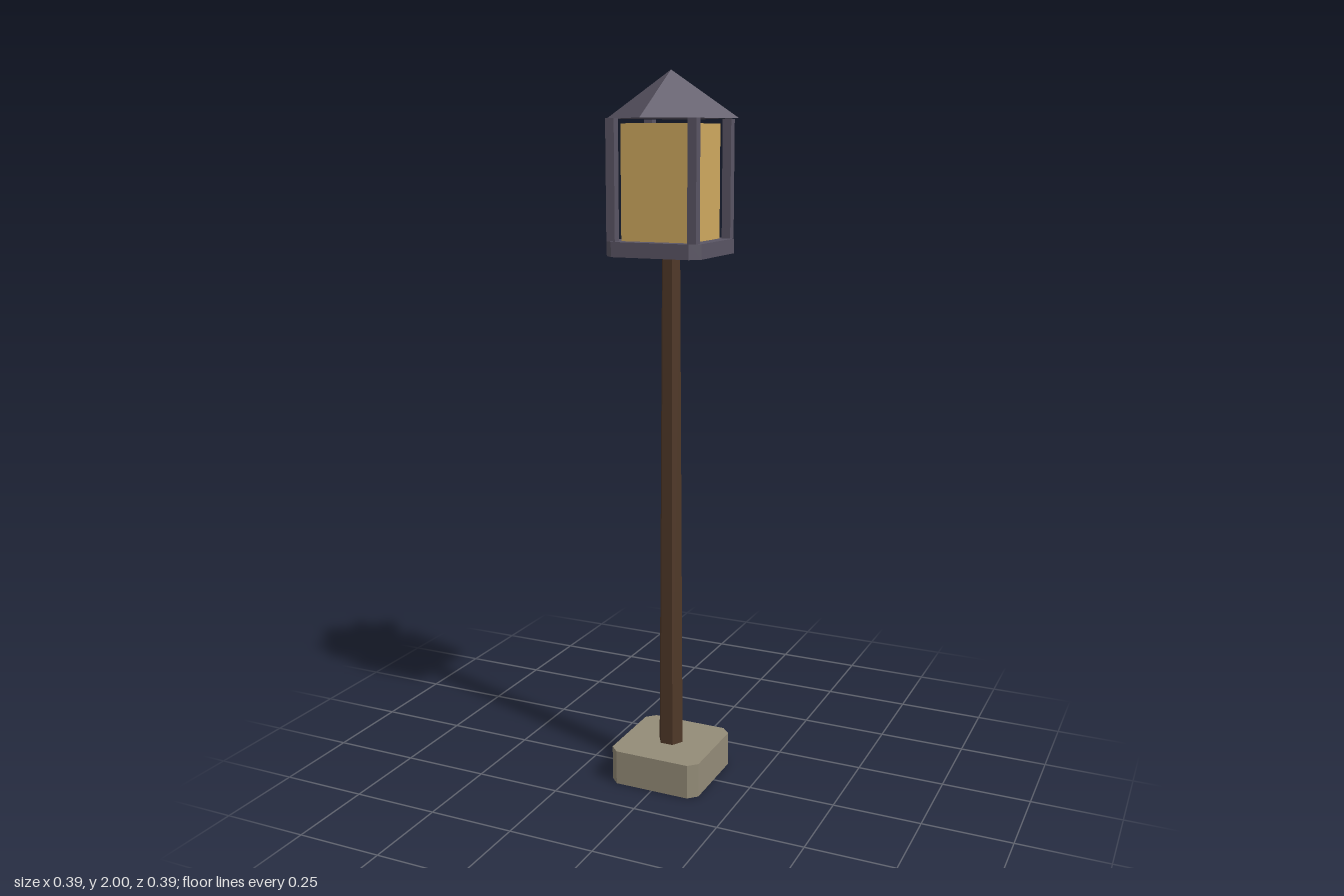
import * as THREE from 'three';

function material(name, color) {
  const m = new THREE.MeshStandardMaterial({ color });
  m.name = name;
  return m;
}

// Square slab with chamfered vertical corners, standing on y = 0
function chamferedSlab(half, chamfer, height) {
  const i = half - chamfer;
  const outline = [[half, -i], [half, i], [i, half], [-i, half], [-half, i], [-half, -i], [-i, -half], [i, -half]];
  const shape = new THREE.Shape(outline.map(([x, y]) => new THREE.Vector2(x, y)));
  const geo = new THREE.ExtrudeGeometry(shape, { depth: height, bevelEnabled: false });
  return geo.rotateX(-Math.PI / 2);
}

export function createModel() {
  const lamp = new THREE.Group();
  lamp.name = 'lampPost';

  const stone = material('stone', 0x948c78);
  const wood = material('wood', 0x4f3828);
  const metal = material('darkMetal', 0x5a5564);
  const glass = material('amberGlass', 0xcfa95f);

  const add = (name, geo, mat, x, y, z) => {
    // Hard facets throughout
    const flat = geo.index ? geo.toNonIndexed() : geo;
    flat.computeVertexNormals();
    const mesh = new THREE.Mesh(flat, mat);
    mesh.name = name;
    mesh.position.set(x, y, z);
    lamp.add(mesh);
  };

  // Footing and tapered hexagonal pole with corners on the x axis
  add('base', chamferedSlab(0.136, 0.025, 0.1), stone, 0, 0, 0);
  const pole = new THREE.CylinderGeometry(0.027, 0.037, 1.417, 6).rotateY(Math.PI / 6);
  add('pole', pole, wood, 0, 0.1 + 1.417 / 2, 0);

  // Lantern: tray, glass box, four corner posts
  add('lanternTray', chamferedSlab(0.1375, 0.025, 0.04), metal, 0, 1.517, 0);
  add('lanternGlass', new THREE.BoxGeometry(0.2, 0.305, 0.2), glass, 0, 1.557 + 0.1525, 0);
  for (const x of [-1, 1]) {
    for (const z of [-1, 1]) {
      add('cornerPost', new THREE.BoxGeometry(0.025, 0.318, 0.025), metal, x * 0.117, 1.557 + 0.159, z * 0.117);
    }
  }

  // Pyramid roof turned so its corners lie on the axes
  add('roof', new THREE.ConeGeometry(0.193, 0.125, 4), metal, 0, 1.875 + 0.0625, 0);

  return lamp;
}
